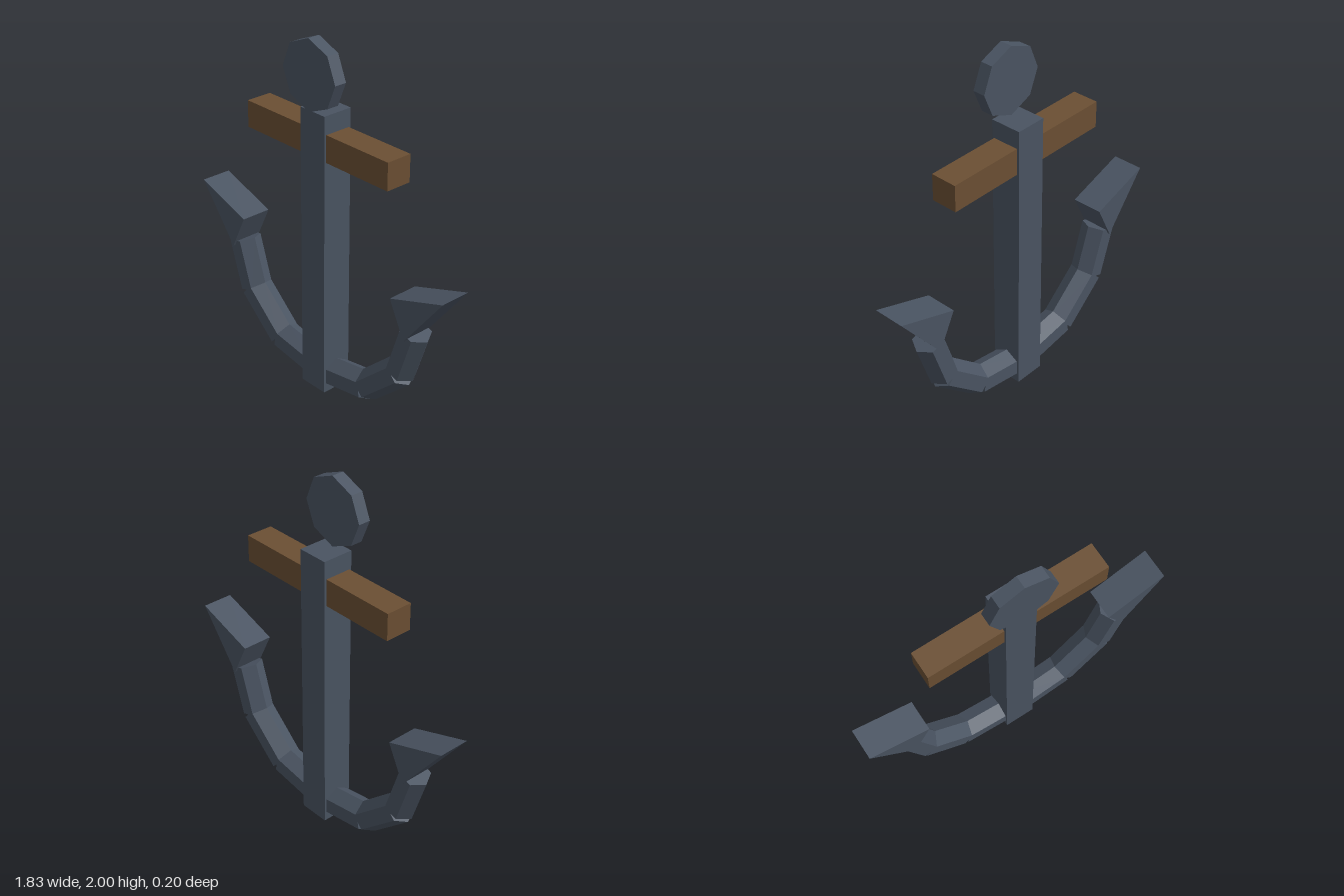
import * as THREE from 'three';

const MID_Z = -0.011; // depth centre shared by shank, stock, arms and flukes

export function createModel() {
  const iron = new THREE.MeshStandardMaterial({ color: 0x4a5462, flatShading: true });
  iron.name = 'iron';
  const wood = new THREE.MeshStandardMaterial({ color: 0x6b4f33, flatShading: true });
  wood.name = 'wood';

  const model = new THREE.Group();
  model.name = 'anchor';

  const add = (parent, name, geometry, material, x = 0, y = 0, z = 0) => {
    const mesh = new THREE.Mesh(geometry, material);
    mesh.name = name;
    mesh.position.set(x, y, z);
    parent.add(mesh);
    return mesh;
  };

  // Upright shank and wooden crossbar
  add(model, 'shank', new THREE.BoxGeometry(0.176, 1.616, 0.176), iron, 0, 0.808, MID_Z);
  add(model, 'stock', new THREE.BoxGeometry(1.034, 0.15, 0.15), wood, 0, 1.44, MID_Z);

  // Octagonal head disc, set towards the front
  const disc = new THREE.CylinderGeometry(0.19, 0.19, 0.07, 8).rotateX(Math.PI / 2);
  add(model, 'headDisc', disc, iron, 0, 1.81, 0.065);

  // Curved arms of straight hexagonal bars, each ending in a triangular fluke
  const path = [[0, 0.083], [0.335, 0.137], [0.575, 0.35], [0.665, 0.625]];
  const flukeCorners = [[0.665, 0.6], [0.913, 0.92], [0.565, 0.803]];

  for (const [side, s] of [['left', 1], ['right', -1]]) {
    const arm = new THREE.Group();
    arm.name = side + 'Arm';
    model.add(arm);

    for (let i = 0; i < path.length - 1; i++) {
      const [x0, y0] = path[i];
      const [x1, y1] = path[i + 1];
      const dx = s * (x1 - x0);
      const dy = y1 - y0;
      const bar = new THREE.CylinderGeometry(0.086, 0.086, Math.hypot(dx, dy), 6);
      bar.rotateY(Math.PI / 2).rotateZ(Math.atan2(-dx, dy));
      add(arm, side + 'ArmBar' + (i + 1), bar, iron, s * (x0 + x1) / 2, (y0 + y1) / 2, MID_Z);
    }

    const shape = new THREE.Shape(flukeCorners.map(([x, y]) => new THREE.Vector2(s * x, y)));
    const fluke = new THREE.ExtrudeGeometry(shape, { depth: 0.176, bevelEnabled: false });
    add(arm, side + 'Fluke', fluke, iron, 0, 0, MID_Z - 0.088);
  }

  return model;
}
